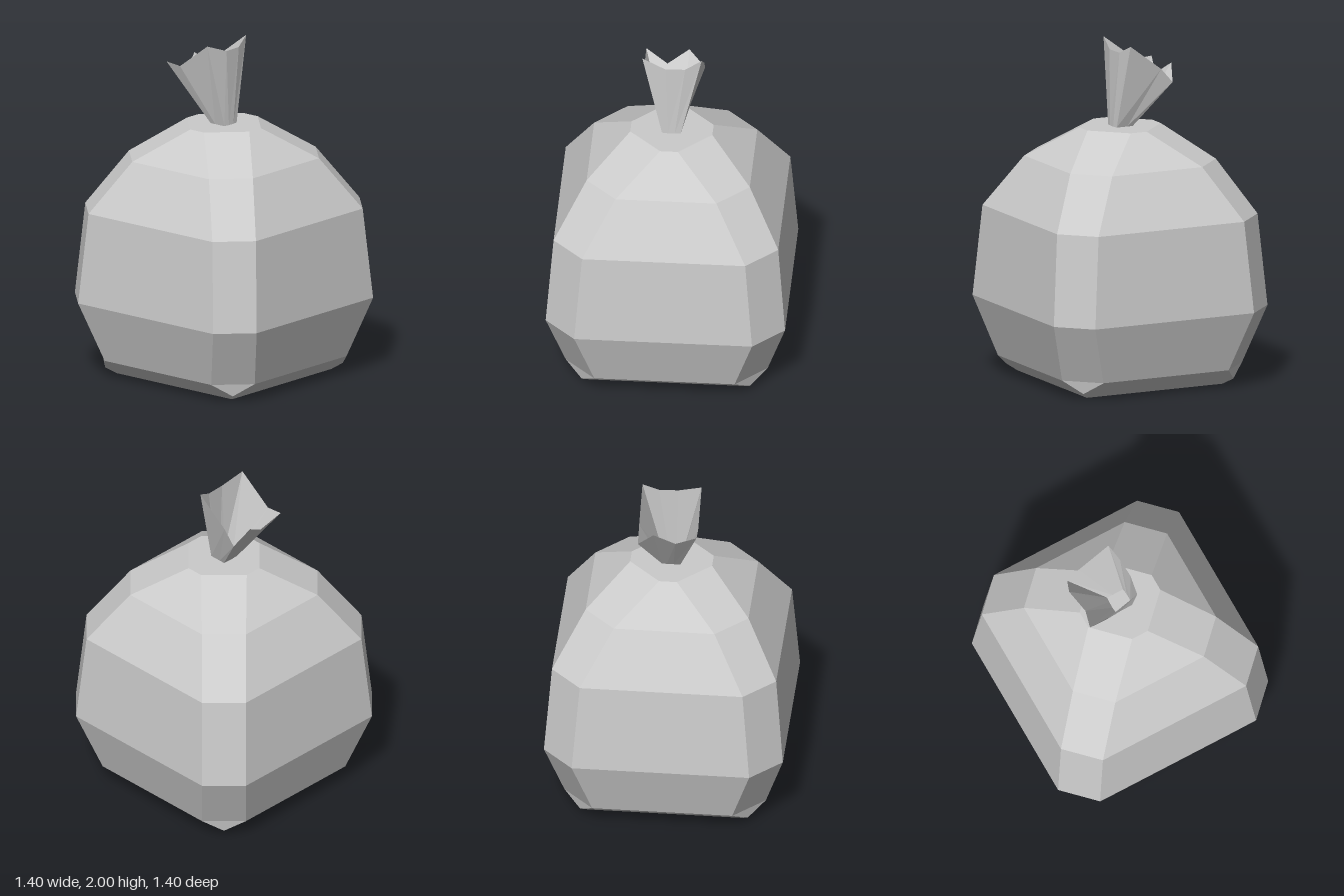
import * as THREE from 'three';

// Flat-shaded skin through rings of [x, y, z] points, ordered counter-clockwise from above
function loft(rings, capped) {
  const pos = [];
  const tri = (...pts) => {
    const [a, b, c] = pts.map((p) => new THREE.Vector3(...p));
    if (b.clone().sub(a).cross(c.clone().sub(a)).length() < 1e-7) return;
    for (const p of pts) pos.push(...p);
  };
  for (let r = 0; r < rings.length - 1; r++) {
    const lo = rings[r], hi = rings[r + 1], n = lo.length;
    for (let i = 0; i < n; i++) {
      const j = (i + 1) % n;
      tri(lo[i], lo[j], hi[j]);
      tri(lo[i], hi[j], hi[i]);
    }
  }
  if (capped) {
    const bottom = rings[0], top = rings[rings.length - 1];
    for (let i = 1; i < top.length - 1; i++) {
      tri(bottom[0], bottom[i + 1], bottom[i]);
      tri(top[0], top[i], top[i + 1]);
    }
  }
  const geometry = new THREE.BufferGeometry();
  geometry.setAttribute('position', new THREE.Float32BufferAttribute(pos, 3));
  geometry.computeVertexNormals();
  return geometry;
}

// Square ring with cut corners: w = half width, c = half length of each flat side
function cutSquare(y, w, c) {
  return [[c, w], [w, c], [w, -c], [c, -w], [-c, -w], [-w, -c], [-w, c], [-c, w]]
    .map(([x, z]) => [x, y, z]);
}

export function createModel() {
  const group = new THREE.Group();
  group.name = 'tiedSack';

  // Bulging body: height, half width, half flat side
  const profile = [
    [0, 0.445, 0.445], [0.035, 0.491, 0.491], [0.11, 0.59, 0.41], [0.46, 0.7, 0.52],
    [1.0, 0.657, 0.477], [1.31, 0.477, 0.295], [1.5, 0.24, 0.052],
  ];
  const body = new THREE.Mesh(
    loft(profile.map((p) => cutSquare(...p)), true),
    new THREE.MeshStandardMaterial({ color: 0xcccccc, flatShading: true }),
  );
  body.name = 'sackBody';
  group.add(body);

  // Gathered open neck: rim point x, y, z, then its foot x, z
  const folds = [
    [0.02, 2.0, 0.172, 0.05, 0.055],
    [0.05, 1.95, 0.035, 0.055, 0.02],
    [0.045, 1.95, -0.08, 0.055, -0.02],
    [0.02, 2.0, -0.175, 0.05, -0.055],
    [-0.18, 1.85, -0.175, -0.02, -0.055],
    [-0.255, 1.765, -0.175, -0.055, -0.055],
    [-0.295, 1.86, -0.08, -0.058, -0.025],
    [-0.255, 1.78, 0.045, -0.058, 0.015],
    [-0.295, 1.855, 0.172, -0.055, 0.055],
    [-0.19, 1.845, 0.172, -0.02, 0.055],
  ];
  const neck = new THREE.Mesh(
    loft([folds.map(([, , , x, z]) => [x, 1.5, z]), folds.map(([x, y, z]) => [x, y, z])], false),
    new THREE.MeshStandardMaterial({ color: 0xcccccc, flatShading: true, side: THREE.DoubleSide }),
  );
  neck.name = 'gatheredNeck';
  group.add(neck);

  return group;
}
